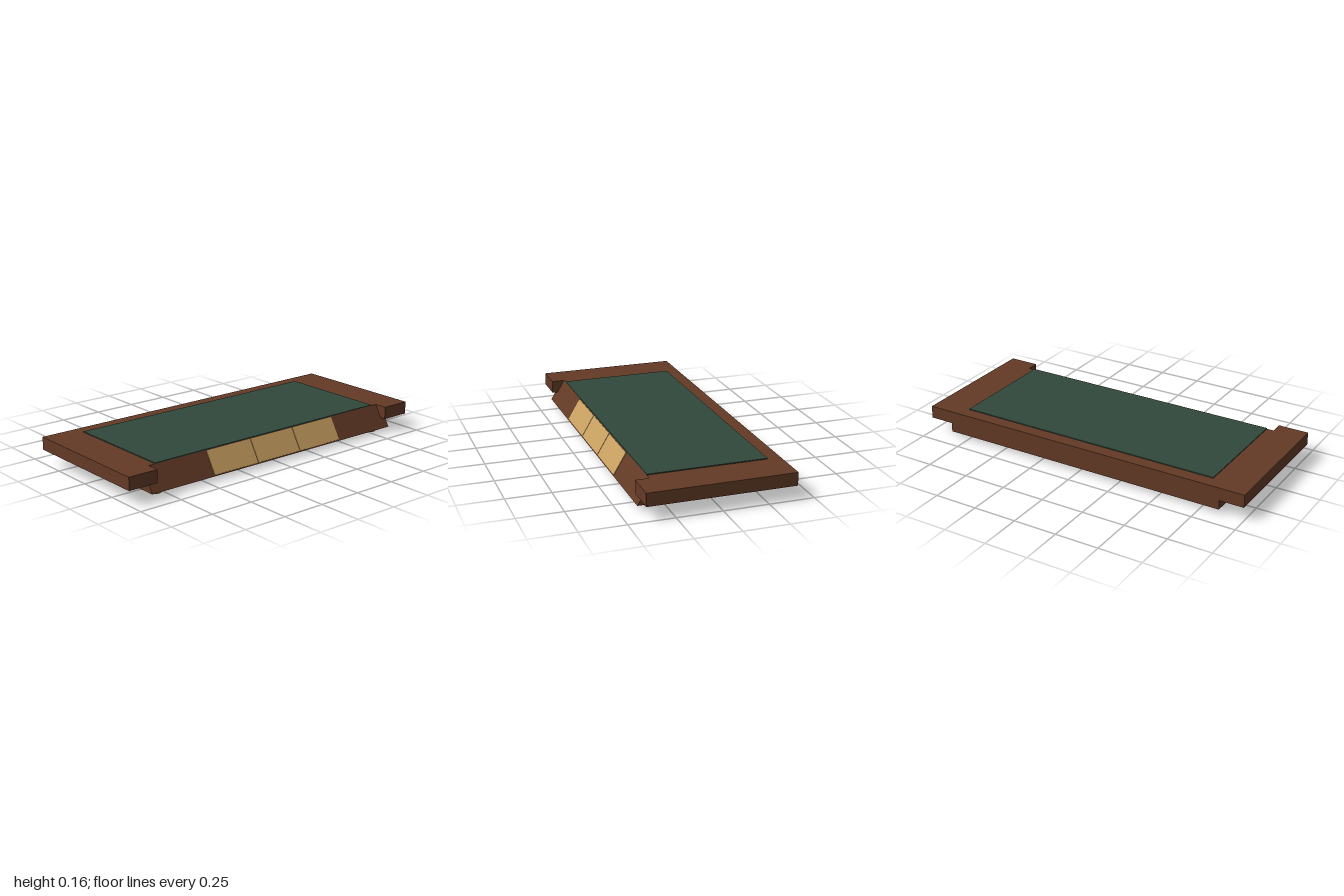
import * as THREE from 'three';

const wood = new THREE.MeshStandardMaterial({ name: 'dark wood', color: 0x633a26 });
const felt = new THREE.MeshStandardMaterial({ name: 'green felt', color: 0x32483b });
const brass = new THREE.MeshStandardMaterial({ name: 'brass', color: 0xc8a060 });

const HALF_DEPTH = 0.405, TOP = 0.153, SLAB_BOTTOM = 0.08, BASE_BOTTOM = 0.027;
const NOTCH_X = 0.825, NOTCH_Z = 0.33, BASE_X = 0.86;

function outline(points) {
  return new THREE.Shape(points.map(([x, y]) => new THREE.Vector2(x, y)));
}

export function createModel() {
  const model = new THREE.Group();
  model.name = 'deskTray';

  function add(name, geometry, material, x = 0, y = 0, z = 0, parent = model) {
    const mesh = new THREE.Mesh(geometry, material);
    mesh.name = name;
    mesh.position.set(x, y, z);
    parent.add(mesh);
    return mesh;
  }

  // Top slab: wide board with a notch cut out of the front edge
  const slab = new THREE.ExtrudeGeometry(outline([
    [-1, -HALF_DEPTH], [1, -HALF_DEPTH], [1, HALF_DEPTH], [NOTCH_X, HALF_DEPTH],
    [NOTCH_X, NOTCH_Z], [-NOTCH_X, NOTCH_Z], [-NOTCH_X, HALF_DEPTH], [-1, HALF_DEPTH],
  ]), { depth: TOP - SLAB_BOTTOM, bevelEnabled: false });
  slab.rotateX(Math.PI / 2);
  add('topSlab', slab, wood, 0, TOP, 0);

  // Base: side profile (z, y) with a sloping front, stepped back inside the slab
  const base = new THREE.ExtrudeGeometry(outline([
    [-HALF_DEPTH, BASE_BOTTOM], [HALF_DEPTH, BASE_BOTTOM], [NOTCH_Z, TOP - 0.0005],
    [-0.39, TOP - 0.0005], [-0.39, SLAB_BOTTOM], [-HALF_DEPTH, SLAB_BOTTOM],
  ]), { depth: BASE_X * 2, bevelEnabled: false });
  base.rotateY(-Math.PI / 2);
  add('slopedBase', base, wood, BASE_X, 0, 0);

  // Writing mat
  add('feltMat', new THREE.BoxGeometry(1.57, 0.006, 0.66), felt, 0, TOP + 0.002, 0);

  // Three thin plates lying on the sloping front
  const rise = TOP - BASE_BOTTOM, run = HALF_DEPTH - NOTCH_Z;
  const panel = new THREE.Group();
  panel.name = 'frontPlates';
  panel.position.set(0, (TOP + BASE_BOTTOM) / 2, (HALF_DEPTH + NOTCH_Z) / 2);
  panel.rotation.x = -Math.atan2(run, rise);
  model.add(panel);
  for (let i = -1; i <= 1; i++) {
    add('frontPlate', new THREE.BoxGeometry(0.3, 0.136, 0.004), brass, i * 0.304, 0.002, 0.001, panel);
  }

  // Round feet at the four corners
  const foot = new THREE.CylinderGeometry(0.03, 0.03, 0.03, 24);
  for (const x of [-0.785, 0.785]) {
    for (const z of [-0.33, 0.33]) add('foot', foot, brass, x, 0.015, z);
  }

  return model;
}
